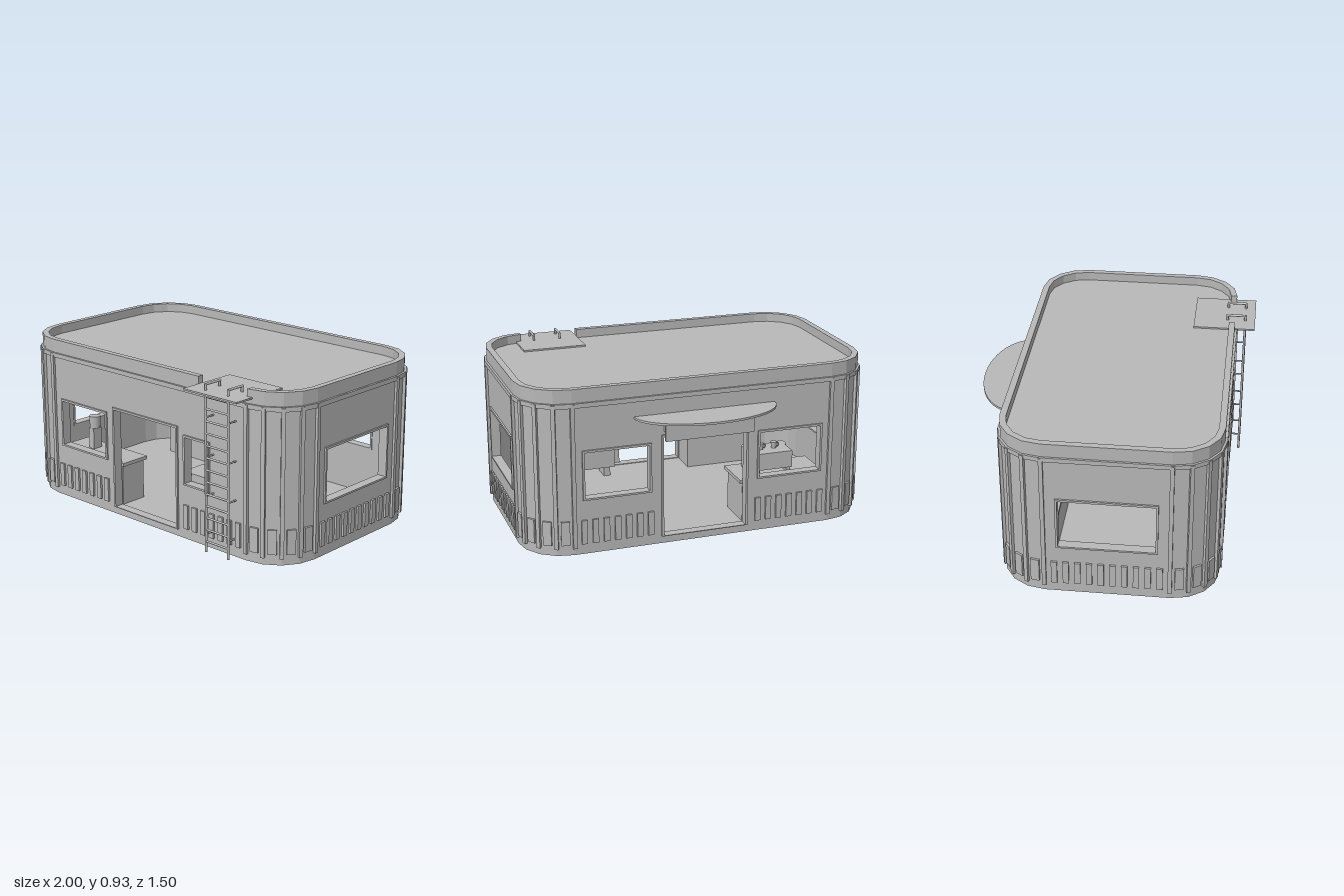
import * as THREE from 'three';

const HX = 0.985, HZ = 0.583, ZC = 0.05, R = 0.25, T = 0.04;
const FLOOR = 0.04, CEIL = 0.83, ROOF = 0.875, TOP = 0.925;
const CX = HX - R, CZ = HZ - R;
const grey = new THREE.MeshStandardMaterial({ color: 0xb8b8b8 });
grey.name = 'plain grey';

function add(parent, name, geo, x = 0, y = 0, z = 0) {
  const m = new THREE.Mesh(geo, grey);
  m.name = name;
  m.position.set(x, y, z);
  parent.add(m);
  return m;
}

// box given by its limits
function block(parent, name, x0, x1, y0, y1, z0, z1) {
  return add(parent, name, new THREE.BoxGeometry(x1 - x0, y1 - y0, z1 - z0),
    (x0 + x1) / 2, (y0 + y1) / 2, (z0 + z1) / 2);
}

function rod(parent, name, a, b, r = 0.007) {
  const p = new THREE.Vector3(...a), q = new THREE.Vector3(...b), d = q.clone().sub(p);
  const m = add(parent, name, new THREE.CylinderGeometry(r, r, d.length(), 8));
  m.position.copy(p).add(q).multiplyScalar(0.5);
  m.quaternion.setFromUnitVectors(new THREE.Vector3(0, 1, 0), d.normalize());
}

// plan points are (x, -z); corner k runs anticlockwise from the front right
const corners = [[CX, -CZ], [CX, CZ], [-CX, CZ], [-CX, -CZ]];
function arc(k, off) {
  const [cx, cy] = corners[k], pts = [];
  for (let i = 0; i <= 4; i++) {
    const a = (k - 1 + i / 4) * Math.PI / 2;
    pts.push(new THREE.Vector2(cx + (R + off) * Math.cos(a), cy - ZC + (R + off) * Math.sin(a)));
  }
  return pts;
}
const outline = (off) => [0, 1, 2, 3].flatMap((k) => arc(k, off));

function slab(parent, name, shape, y0, y1) {
  const g = new THREE.ExtrudeGeometry(shape, { depth: y1 - y0, bevelEnabled: false });
  g.rotateX(-Math.PI / 2);
  return add(parent, name, g, 0, y0, 0);
}

function rect(Kind, x0, x1, y0, y1) {
  return new Kind([[x0, y0], [x1, y0], [x1, y1], [x0, y1]].map((p) => new THREE.Vector2(...p)));
}

// flat wall with framed openings and a row of low slats
function wall(parent, name, half, openings, x, z, turn) {
  const g = new THREE.Group();
  g.name = name;
  g.position.set(x, 0, z);
  g.rotation.y = turn;
  parent.add(g);
  const shape = rect(THREE.Shape, -half, half, FLOOR, CEIL);
  for (const [x0, x1, y0, y1] of openings) {
    shape.holes.push(rect(THREE.Path, x0, x1, y0, y1));
    const f = rect(THREE.Shape, x0 - 0.006, x1 + 0.006, y0 === 0.041 ? y0 : y0 - 0.006, y1 + 0.006);
    f.holes.push(rect(THREE.Path, x0 + 0.006, x1 - 0.006, y0 + 0.004, y1 - 0.006));
    add(g, 'openingFrame', new THREE.ExtrudeGeometry(f, { depth: T + 0.014, bevelEnabled: false }), 0, 0, -T - 0.004);
  }
  add(g, 'wallPanel', new THREE.ExtrudeGeometry(shape, { depth: T, bevelEnabled: false }), 0, 0, -T);
  const n = Math.floor((2 * half - 0.04) / 0.062);
  for (let i = 0; i < n; i++) {
    const sx = (i - (n - 1) / 2) * 0.062;
    if (openings.some(([x0, x1, y0]) => y0 < 0.2 && sx > x0 - 0.025 && sx < x1 + 0.025)) continue;
    block(g, 'slat', sx - 0.016, sx + 0.016, 0.06, 0.195, -0.002, 0.012);
  }
}

export function createModel() {
  const model = new THREE.Group();
  model.name = 'kiosk';

  // base, roof, trim and the parapet with its gap at the ladder
  slab(model, 'base', new THREE.Shape(outline(0)), 0, FLOOR);
  slab(model, 'roof', new THREE.Shape(outline(0)), CEIL, ROOF);
  const trim = new THREE.Shape(outline(0.012));
  trim.holes.push(new THREE.Path(outline(-0.01)));
  slab(model, 'trimRail', trim, 0.825, 0.85);
  const yF = -(HZ + ZC);
  slab(model, 'parapet', new THREE.Shape([...outline(0), new THREE.Vector2(0.4, yF),
    new THREE.Vector2(0.4, yF + 0.035), ...outline(-0.035).reverse()].filter(
    (p, i, a) => i === 0 || p.distanceTo(a[i - 1]) > 1e-4).filter(Boolean)), ROOF, TOP);
  // parapet continues from the left end of the front edge to the gap by the outline order

  // straight walls
  const door = [-0.243, 0.243, 0.041, 0.618];
  wall(model, 'frontWall', CX, [[-0.668, -0.305, 0.313, 0.58], door, [0.298, 0.473, 0.313, 0.58]], 0, ZC + HZ, 0);
  wall(model, 'backWall', CX, [[-0.68, -0.31, 0.313, 0.58], door, [0.31, 0.68, 0.313, 0.58]], 0, ZC - HZ, Math.PI);
  wall(model, 'rightWall', CZ, [[-0.262, 0.262, 0.295, 0.59]], HX, ZC, Math.PI / 2);
  wall(model, 'leftWall', CZ, [[-0.262, 0.262, 0.295, 0.59]], -HX, ZC, -Math.PI / 2);

  // faceted corners with ribs and slats
  for (let k = 0; k < 4; k++) {
    slab(model, 'cornerWall', new THREE.Shape([...arc(k, 0), ...arc(k, -T).reverse()]), FLOOR, CEIL);
    const [cx, cy] = corners[k];
    for (let i = 0; i <= 8; i++) {
      const a = (k - 1 + i / 8) * Math.PI / 2, post = i % 2 === 0;
      const g = new THREE.Group();
      g.name = post ? 'cornerRib' : 'cornerSlats';
      const r = post ? R : R * Math.cos(Math.PI / 16);
      g.position.set(cx + r * Math.cos(a), 0, ZC - cy - r * Math.sin(a));
      g.rotation.y = a + Math.PI / 2;
      model.add(g);
      if (post) block(g, 'rib', -0.011, 0.011, FLOOR, 0.845, -0.012, 0.014);
      else block(g, 'slat', -0.024, 0.024, 0.06, 0.195, -0.002, 0.012);
    }
  }

  // roof ladder with landing plate
  const ladder = new THREE.Group();
  ladder.name = 'ladder';
  model.add(ladder);
  for (const x of [0.505, 0.66]) {
    rod(ladder, 'rail', [x, 0, 0.69], [x, 0.918, 0.69]);
    rod(ladder, 'railHook', [x, 0.915, 0.69], [x, 0.915, 0.58]);
    rod(ladder, 'hookFoot', [x, 0.915, 0.587], [x, 0.88, 0.587]);
    for (const y of [0.1, 0.312, 0.525, 0.74]) rod(ladder, 'bracket', [x, y, 0.69], [x, y, 0.63], 0.005);
  }
  for (let i = 0; i < 13; i++) rod(ladder, 'rung', [0.505, 0.06 + i * 0.066, 0.69], [0.66, 0.06 + i * 0.066, 0.69], 0.006);
  block(ladder, 'landingPlate', 0.4, 0.765, 0.876, 0.885, 0.395, 0.747);

  // half-oval awning and the blank board under it
  const awning = new THREE.Shape();
  awning.absellipse(0, 0.53, 0.4, 0.225, 0, Math.PI, false);
  slab(model, 'awning', awning, 0.73, 0.742);
  block(model, 'signBoard', -0.25, 0.25, 0.612, 0.712, -0.615, -0.597);
  for (const s of [-0.22, 0.22]) block(model, 'signArm', s - 0.015, s + 0.015, 0.645, 0.682, -0.6, -0.53);

  // inside: counters along front and back on the one side
  for (const [z0, z1] of [[0.42, 0.58], [-0.48, -0.26]]) {
    block(model, 'counter', -0.7, -0.24, FLOOR, 0.27, z0, z1);
    block(model, 'counterTop', -0.72, -0.222, 0.27, 0.29, z0 - 0.012, z1 + 0.012);
  }
  // coffee machine with cups
  block(model, 'machineBody', -0.55, -0.33, 0.315, 0.412, -0.45, -0.29);
  for (const x of [-0.55, -0.33]) {
    const side = add(model, 'machineSide', new THREE.CylinderGeometry(0.02, 0.02, 0.12, 12), x, 0.35, -0.3);
    side.scale.z = 2;
  }
  for (const x of [-0.53, -0.35]) block(model, 'machineFoot', x - 0.012, x + 0.012, 0.29, 0.315, -0.44, -0.3);
  for (const x of [-0.47, -0.39]) {
    add(model, 'cup', new THREE.CylinderGeometry(0.018, 0.014, 0.036, 12), x, 0.43, -0.37);
    add(model, 'cupHandle', new THREE.TorusGeometry(0.011, 0.004, 6, 12), x - 0.018, 0.43, -0.37);
  }
  // grinder
  block(model, 'grinderBase', -0.57, -0.53, 0.29, 0.41, 0.47, 0.53);
  add(model, 'grinderHopper', new THREE.CylinderGeometry(0.033, 0.03, 0.07, 12), -0.55, 0.445, 0.5);

  // bench on the other side
  block(model, 'bench', 0.225, 0.72, 0.1, 0.35, 0.42, 0.57);
  block(model, 'benchEndPanel', 0.195, 0.225, 0.12, 0.285, 0.43, 0.56);
  for (const x of [0.27, 0.68]) block(model, 'benchLeg', x - 0.02, x + 0.02, FLOOR, 0.1, 0.44, 0.55);

  return model;
}
